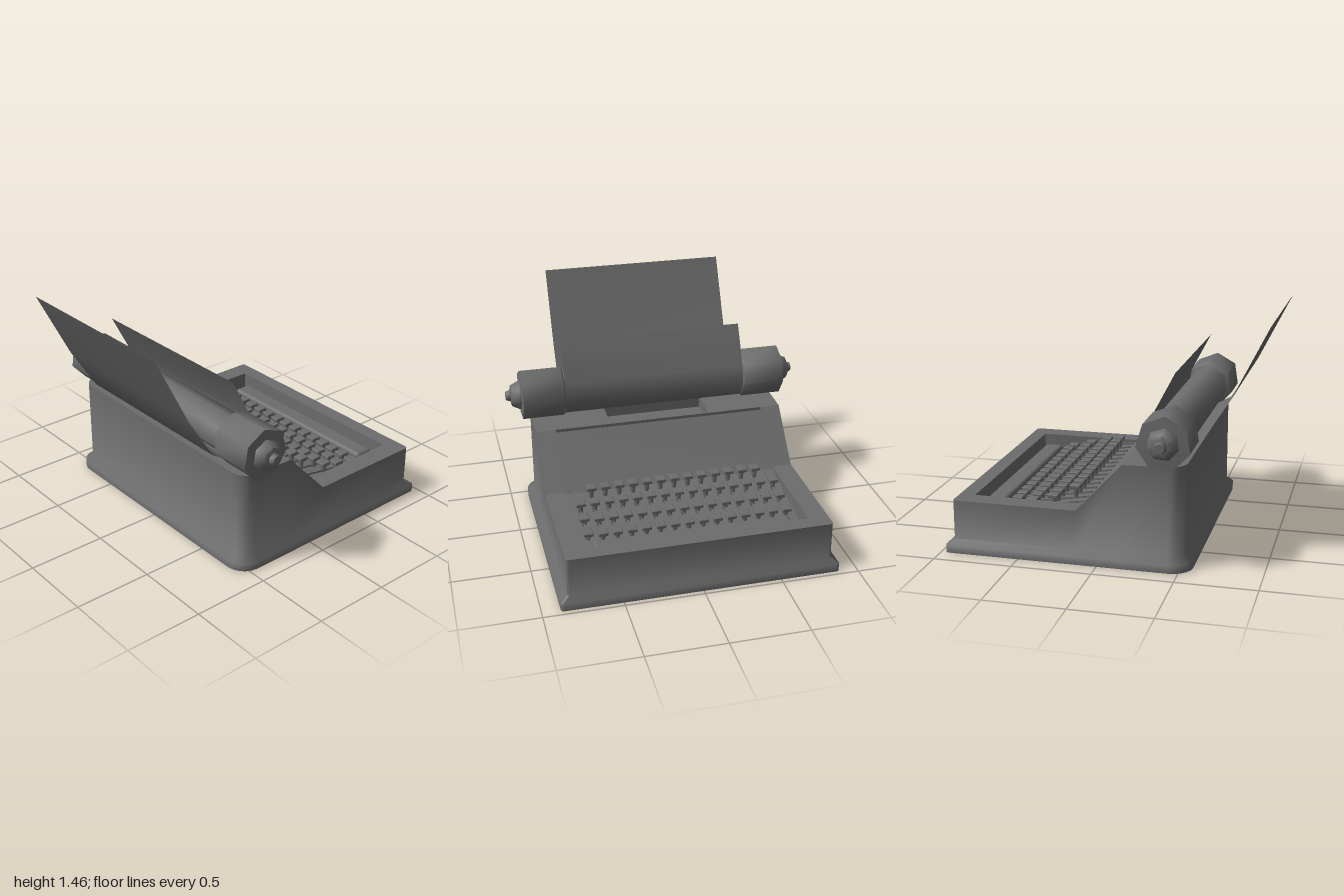
import * as THREE from 'three';
import { toCreasedNormals } from 'three/addons/utils/BufferGeometryUtils.js';
import { RoundedBoxGeometry } from 'three/addons/geometries/RoundedBoxGeometry.js';

const SLOPE_TOP = -0.15, SLOPE_END = 0.14, DECK = 0.33;

// Height of the casing top at a given x
function topHeight(x) {
  if (x <= SLOPE_TOP) return 0.64 + 0.01 * Math.min(1, (SLOPE_TOP - x) / 0.38);
  if (x >= SLOPE_END) return DECK;
  return THREE.MathUtils.lerp(0.64, DECK, (x - SLOPE_TOP) / (SLOPE_END - SLOPE_TOP));
}

// Height of the sunken surface: the slope panel, then the floor under the keys
const sunkHeight = x => (x < SLOPE_END ? topHeight(x) - 0.02 : 0.31 - 0.16 * (x - SLOPE_END));

// Outline seen from above with rounded corners; has points where the slope begins and ends
function outline(x0, x1, hz, rFront, rBack) {
  const pts = [];
  const arc = (cx, cz, r, start) => {
    for (let i = 0; i <= 5; i++) {
      const a = start + (i / 5) * Math.PI / 2;
      pts.push([cx + r * Math.cos(a), cz + r * Math.sin(a)]);
    }
  };
  pts.push([SLOPE_END, -hz]);
  arc(x1 - rFront, -hz + rFront, rFront, -Math.PI / 2);
  arc(x1 - rFront, hz - rFront, rFront, 0);
  pts.push([SLOPE_END, hz], [SLOPE_TOP, hz]);
  arc(x0 + rBack, hz - rBack, rBack, Math.PI / 2);
  arc(x0 + rBack, -hz + rBack, rBack, Math.PI);
  pts.push([SLOPE_TOP, -hz]);
  return pts;
}

const rectRing = (x0, x1, z0, z1) => [[x0, z0], [x1, z0], [x1, z1], [x0, z1]];

// Skin between closed rings; each level is [ring, height or height function]
function loft(levels) {
  const pos = [], index = [], n = levels[0][0].length;
  levels.forEach(([ring, y], k) => ring.forEach(([x, z], i) => {
    pos.push(x, typeof y === 'function' ? y(x) : y, -z);
    if (k === 0) return;
    const j = (i + 1) % n, a = (k - 1) * n, b = k * n;
    index.push(a + i, a + j, b + j, a + i, b + j, b + i);
  }));
  const g = new THREE.BufferGeometry();
  g.setAttribute('position', new THREE.Float32BufferAttribute(pos, 3));
  g.setIndex(index);
  return toCreasedNormals(g, 1.1);
}

// Sheet filling an outline, laid on the given height rule
function plate(points, yOf, hole) {
  const toV = ([x, z]) => new THREE.Vector2(x, z);
  const shape = new THREE.Shape(points.map(toV));
  if (hole) shape.holes.push(new THREE.Path(hole.map(toV)));
  const g = new THREE.ShapeGeometry(shape).rotateX(-Math.PI / 2);
  const p = g.attributes.position;
  for (let i = 0; i < p.count; i++) p.setY(i, yOf(p.getX(i)));
  g.computeVertexNormals();
  return g;
}

export function createModel() {
  const model = new THREE.Group();
  const mat = new THREE.MeshStandardMaterial({ color: 0x6c6c6c, side: THREE.DoubleSide });
  const add = (name, geo, x = 0, y = 0, z = 0, parent = model) => {
    const m = new THREE.Mesh(geo, mat);
    m.name = name;
    m.position.set(x, y, z);
    parent.add(m);
    return m;
  };

  // Casing with a flared foot; the underside slants inwards to a raised base plate
  const body = outline(-0.53, 0.93, 0.84, 0.02, 0.1);
  const foot = outline(-0.573, 0.97, 0.885, 0.02, 0.13);
  const base = outline(-0.165, 0.79, 0.77, 0.005, 0.005);
  add('casing', loft([[base, 0.18], [foot, 0], [foot, 0.05], [body, 0.08], [body, topHeight]]));
  add('basePlate', plate(base, () => 0.18));

  // Top sheets: rear deck with type opening, sloping side rims, and keyboard surround
  const typeHole = rectRing(-0.4, -0.165, -0.34, 0.34);
  const keyWell = rectRing(SLOPE_END, 0.83, -0.71, 0.71);
  add('rearDeck', plate(body.slice(14), topHeight, typeHole));
  add('rightSlopeRim', plate(rectRing(SLOPE_TOP, SLOPE_END, 0.71, 0.84), topHeight));
  add('leftSlopeRim', plate(rectRing(SLOPE_TOP, SLOPE_END, -0.84, -0.71), topHeight));
  add('keyboardSurround', plate(
    [...body.slice(0, 14), keyWell[3], keyWell[2], keyWell[1], keyWell[0]], topHeight));

  // Sunken type well, slope panel and key well
  add('typeWellWall', loft([[typeHole, 0.57], [typeHole, topHeight]]));
  add('typeWellFloor', plate(typeHole, () => 0.57));
  const recess = [[SLOPE_TOP, -0.71], ...keyWell, [SLOPE_TOP, 0.71]];
  add('recessWall', loft([[recess, sunkHeight], [recess, topHeight]]));
  add('slopePanel', plate(rectRing(SLOPE_TOP, SLOPE_END, -0.71, 0.71), sunkHeight));
  add('keyWellFloor', plate(keyWell, sunkHeight));

  // Four stepped rows of keys, each key on a stem, with a lever under every column
  const keys = new THREE.Group();
  keys.name = 'keyboard';
  model.add(keys);
  const capGeo = new RoundedBoxGeometry(0.068, 0.024, 0.062, 1, 0.006);
  const stemGeo = new THREE.CylinderGeometry(0.02, 0.014, 0.06, 6);
  const leverGeo = new THREE.BoxGeometry(0.48, 0.012, 0.012);
  const rows = [[0.22, 0.387, 6], [0.335, 0.347, 7], [0.47, 0.311, 7], [0.6, 0.28, 7]];
  for (const [x, y, half] of rows) {
    for (let c = -half; c <= half; c++) {
      const shift = c === 7 && x > 0.4 ? -0.014 : 0;
      add('keyCap', capGeo, x + shift, y, c * 0.092, keys);
      add('keyStem', stemGeo, x + shift, y - 0.04, c * 0.092, keys);
    }
  }
  for (let c = -7; c <= 7; c++) {
    add('keyLever', leverGeo, 0.375, 0.286, c * 0.092, keys).rotation.z = -0.16;
  }
  add('spaceBar', new RoundedBoxGeometry(0.13, 0.06, 1.27, 3, 0.025), 0.735, 0.25, 0);

  // Seven-sided platen roller with stepped end knobs, turned slightly about its axis
  const platen = new THREE.Group();
  platen.name = 'platen';
  platen.position.set(-0.41, 0.802, 0);
  platen.rotation.z = 0.07;
  model.add(platen);
  const roller = new THREE.CylinderGeometry(0.13, 0.13, 1.26, 7, 1, false, Math.PI);
  add('roller', toCreasedNormals(roller.rotateX(Math.PI / 2), 1), 0, 0, 0, platen);
  const profile = [[0, 0.615], [0.155, 0.615], [0.167, 0.625], [0.167, 0.9], [0.1, 0.905],
    [0.098, 0.915], [0.072, 0.965], [0.04, 0.97], [0.03, 1], [0, 1]].map(p => new THREE.Vector2(...p));
  for (const s of [1, -1]) {
    const g = new THREE.LatheGeometry(profile, 7, s > 0 ? Math.PI : 0).rotateX(s * Math.PI / 2);
    add(s > 0 ? 'leftKnob' : 'rightKnob', toCreasedNormals(g, 1), 0, 0, 0, platen);
  }

  // Sheet of paper wrapped under the roller
  const path = [[-0.975, 1.46], [-0.75, 1.01], [-0.57, 0.725], [-0.44, 0.652],
    [-0.32, 0.675], [-0.265, 0.77], [-0.285, 0.9], [-0.42, 1.16]];
  const paper = new THREE.PlaneGeometry(1, 1.23, path.length - 1, 1).rotateX(Math.PI / 2);
  const p = paper.attributes.position;
  for (let i = 0; i < p.count; i++) {
    const [x, y] = path[i % path.length];
    p.setXY(i, x, y);
  }
  paper.computeVertexNormals();
  add('paper', paper);

  return model;
}
